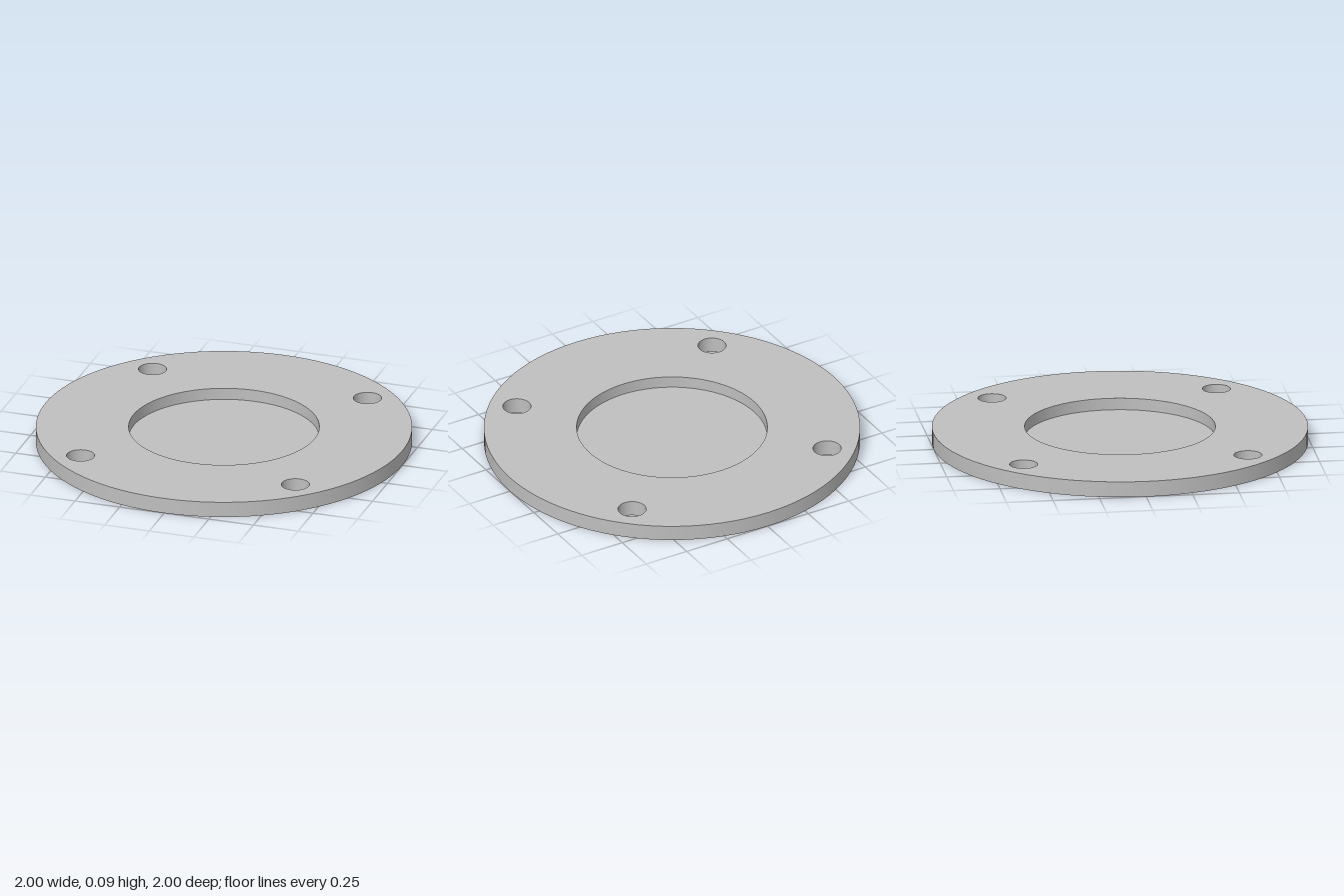
import * as THREE from 'three';

const RADIUS = 1, HEIGHT = 0.085;
const RECESS_RADIUS = 0.507, FLOOR_Y = 0.021;
const HOLE_RADIUS = 0.075, HOLE_OFFSET = 0.602;
const SEGMENTS = 96;

export function createModel() {
  const group = new THREE.Group();
  group.name = 'flangePlate';
  const steel = new THREE.MeshStandardMaterial({ name: 'grey metal', color: 0xbfbfbf });

  const add = (name, geometry, x = 0, y = 0, z = 0) => {
    const mesh = new THREE.Mesh(geometry, steel);
    mesh.name = name;
    mesh.position.set(x, y, z);
    group.add(mesh);
  };

  const circle = (Type, x, y, r) => new Type().absarc(x, y, r, 0, Math.PI * 2, false);

  const boltHoles = [];
  for (const x of [-HOLE_OFFSET, HOLE_OFFSET])
    for (const z of [-HOLE_OFFSET, HOLE_OFFSET]) boltHoles.push([x, z]);

  // Flat disc pierced by the bolt holes, and optionally by the recess
  const face = (withRecess) => {
    const shape = circle(THREE.Shape, 0, 0, RADIUS);
    for (const [x, z] of boltHoles) shape.holes.push(circle(THREE.Path, x, z, HOLE_RADIUS));
    if (withRecess) shape.holes.push(circle(THREE.Path, 0, 0, RECESS_RADIUS));
    return new THREE.ShapeGeometry(shape, SEGMENTS / 2);
  };

  // Smooth round wall: rising points face outward, falling points face inward
  const wall = (r, yStart, yEnd) => new THREE.LatheGeometry(
    [new THREE.Vector2(r, yStart), new THREE.Vector2(r, yEnd)], SEGMENTS);

  // Top and bottom faces
  add('topFace', face(true).rotateX(-Math.PI / 2), 0, HEIGHT, 0);
  add('bottomFace', face(false).rotateX(Math.PI / 2));

  // Outer rim
  add('outerRim', wall(RADIUS, 0, HEIGHT));

  // Central recess
  add('recessWall', wall(RECESS_RADIUS, HEIGHT, FLOOR_Y));
  add('recessFloor', new THREE.CircleGeometry(RECESS_RADIUS, SEGMENTS).rotateX(-Math.PI / 2), 0, FLOOR_Y, 0);

  // Bolt hole walls
  for (const [x, z] of boltHoles) add('boltHoleWall', wall(HOLE_RADIUS, HEIGHT, 0), x, 0, z);

  return group;
}
